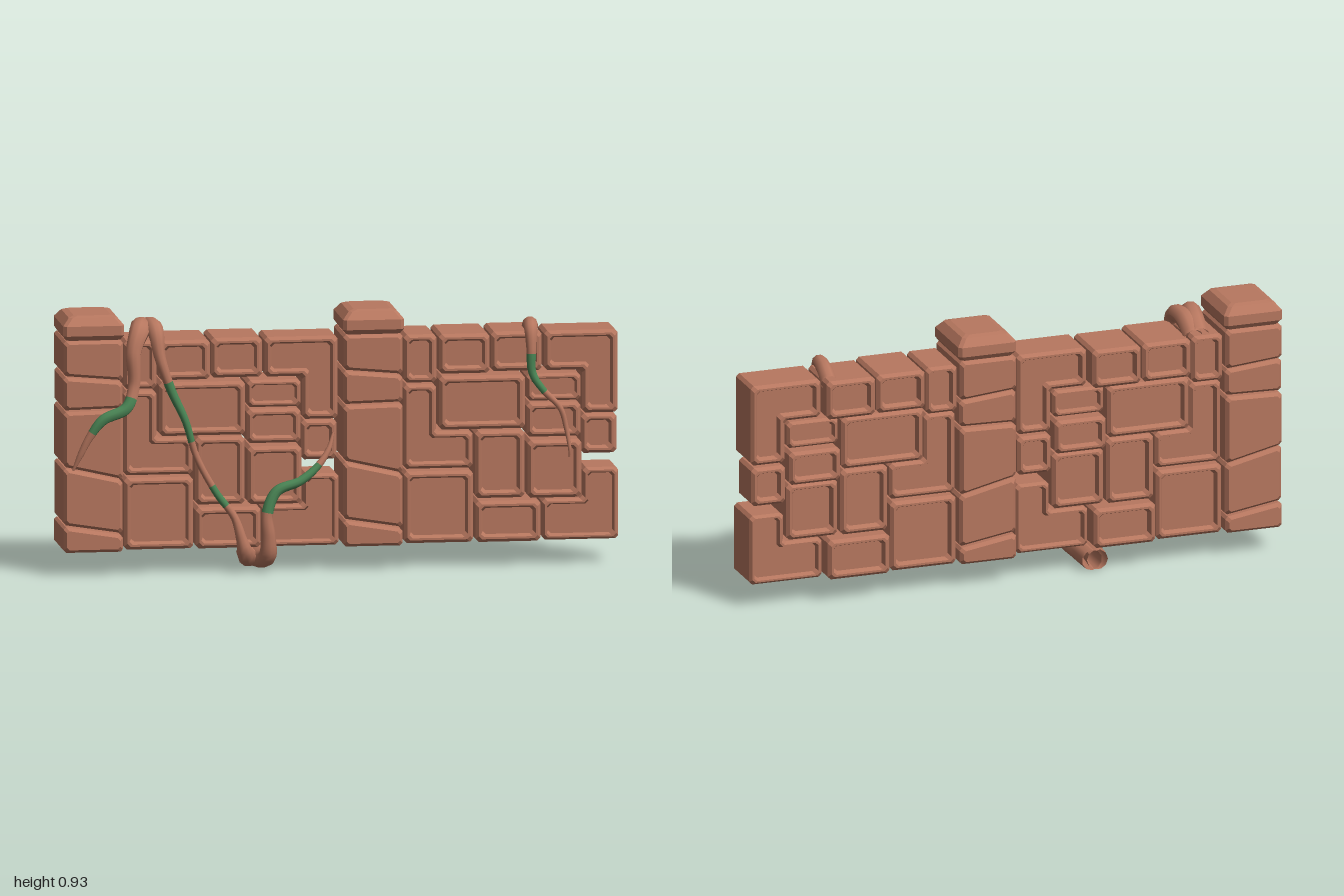
import * as THREE from 'three';

const clay = new THREE.MeshStandardMaterial({ name: 'clay brown', color: 0xb7775f, side: THREE.DoubleSide });
const moss = new THREE.MeshStandardMaterial({ name: 'moss green', color: 0x4a8555, side: THREE.DoubleSide });

// Inset a counter-clockwise outline by d, then cut each corner by c
function insetOutline(points, d, c) {
  const n = points.length;
  const out = [];
  for (let i = 0; i < n; i++) {
    const p = points[i];
    const a = p.clone().sub(points[(i + n - 1) % n]).normalize();
    const b = points[(i + 1) % n].clone().sub(p).normalize();
    const na = new THREE.Vector2(-a.y, a.x), nb = new THREE.Vector2(-b.y, b.x);
    const q = p.clone().addScaledVector(na.clone().add(nb), d / (1 + na.dot(nb)));
    out.push(q.clone().addScaledVector(a, -c), q.clone().addScaledVector(b, c));
  }
  return out;
}

// Loft an outline through rings of [inset, z], ordered front to back, and cap both ends
function loft(outline, rings, corner) {
  const points = outline.map(([x, y]) => new THREE.Vector2(x, y));
  const loops = rings.map(([d]) => insetOutline(points, d, corner));
  const n = loops[0].length;
  const pos = [], index = [];
  loops.forEach((loop, k) => loop.forEach((p) => pos.push(p.x, p.y, rings[k][1])));
  for (let k = 0; k < rings.length - 1; k++) {
    for (let i = 0; i < n; i++) {
      const j = (i + 1) % n, f = k * n, b = f + n;
      index.push(f + i, b + i, b + j, f + i, b + j, f + j);
    }
  }
  const last = (rings.length - 1) * n;
  THREE.ShapeUtils.triangulateShape(loops[0], []).forEach(([a, b, c]) => index.push(a, b, c));
  THREE.ShapeUtils.triangulateShape(loops[rings.length - 1], [])
    .forEach(([a, b, c]) => index.push(last + a, last + c, last + b));
  const indexed = new THREE.BufferGeometry();
  indexed.setAttribute('position', new THREE.Float32BufferAttribute(pos, 3));
  indexed.setIndex(index);
  const geometry = indexed.toNonIndexed();
  geometry.computeVertexNormals();
  return geometry;
}

// Panel stone with a raised rim and a sunken field on both faces
function carvedStone(outline, front, back) {
  const edges = outline.map(([x, y], i) => {
    const [u, v] = outline[(i + 1) % outline.length];
    return Math.hypot(u - x, v - y);
  });
  const rim = Math.min(0.037, Math.min(...edges) * 0.27);
  const g = 0.004;
  const face = (z, s) => [[g + rim, z - s * 0.02], [g + rim * 0.72, z - s * 0.02], [g + rim * 0.5, z],
    [g + rim * 0.3, z], [g, z - s * 0.012]];
  return loft(outline, [...face(front, 1), ...face(back, -1).reverse()], 0.011);
}

// Plain bevelled block
function plainStone(outline, front, back) {
  return loft(outline, [[0.014, front], [0.003, front - 0.014], [0.003, back + 0.014], [0.014, back]], 0.009);
}

const rect = (x0, y0, x1, y1) => [[x0, y0], [x1, y0], [x1, y1], [x0, y1]];

// Stones of one panel, measured from its pillar's outer edge: outline, front z, back z
const stones = [
  [rect(0.22, 0.085, 0.475, 0.35), 0.09, -0.12],
  [rect(0.475, 0.085, 0.715, 0.24), 0.1, -0.138],
  [[[0.715, 0.085], [0.995, 0.085], [0.995, 0.35], [0.86, 0.35], [0.86, 0.24], [0.715, 0.24]], 0.085, -0.095],
  [[[0.22, 0.35], [0.475, 0.35], [0.475, 0.49], [0.345, 0.49], [0.345, 0.66], [0.22, 0.66]], 0.08, -0.11],
  [rect(0.475, 0.24, 0.66, 0.49), 0.085, -0.115],
  [rect(0.66, 0.24, 0.86, 0.455), 0.105, -0.105],
  [rect(0.86, 0.385, 0.995, 0.535), 0.035, -0.115],
  [rect(0.345, 0.49, 0.66, 0.69), 0.095, -0.125],
  [rect(0.66, 0.455, 0.86, 0.585), 0.08, -0.135],
  [rect(0.66, 0.585, 0.86, 0.69), 0.085, -0.11],
  [rect(0.22, 0.66, 0.345, 0.84), 0.085, -0.13],
  [rect(0.345, 0.69, 0.535, 0.84), 0.09, -0.145],
  [rect(0.535, 0.69, 0.725, 0.84), 0.06, -0.153],
  [[[0.86, 0.535], [0.995, 0.535], [0.995, 0.84], [0.725, 0.84], [0.725, 0.69], [0.86, 0.69]], 0.065, -0.11],
];

// Slanted joints of a pillar: height at left edge and at right edge
const joints = [[0.085, 0.085], [0.185, 0.15], [0.395, 0.345], [0.595, 0.6], [0.72, 0.7], [0.85, 0.85]];

function add(parent, name, geometry, material = clay) {
  const mesh = new THREE.Mesh(geometry, material);
  mesh.name = name;
  parent.add(mesh);
  return mesh;
}

// Pillar of stacked wedge blocks under a chamfered cap
function buildPillar() {
  const pillar = new THREE.Group();
  pillar.name = 'pillar';
  for (let i = 0; i < joints.length - 1; i++) {
    const [l0, r0] = joints[i], [l1, r1] = joints[i + 1];
    const shift = i % 2 ? 0.006 : 0;
    const outline = [[0, l0], [0.218, r0], [0.218, r1], [0, l1]];
    add(pillar, 'pillarBlock', plainStone(outline, 0.128 - shift, -0.14 + shift));
  }
  const capRings = [[0.045, 0.933], [0.025, 0.927], [0.002, 0.9], [0.002, 0.865], [0.014, 0.848]];
  const cap = loft(rect(0, -0.128, 0.222, 0.14), capRings, 0.012);
  add(pillar, 'pillarCap', cap.rotateX(-Math.PI / 2));
  return pillar;
}

// Tapering vine: points are [x, y, z, radius]; mossy spans are [from, to] along the length
function vine(points, mossy) {
  const path = new THREE.CatmullRomCurve3(points.map(([x, y, z]) => new THREE.Vector3(x, y, z)));
  const segments = 72, sides = 10;
  const geometry = new THREE.TubeGeometry(path, segments, 1, sides);
  const pos = geometry.attributes.position;
  const v = new THREE.Vector3();
  for (let s = 0; s <= segments; s++) {
    const center = path.getPointAt(s / segments);
    const t = path.getUtoTmapping(s / segments) * (points.length - 1);
    const k = Math.min(Math.floor(t), points.length - 2);
    const radius = THREE.MathUtils.lerp(points[k][3], points[k + 1][3], t - k);
    for (let i = 0; i <= sides; i++) {
      const id = s * (sides + 1) + i;
      v.fromBufferAttribute(pos, id).sub(center).multiplyScalar(radius).add(center);
      pos.setXYZ(id, v.x, v.y, v.z);
    }
  }
  geometry.computeVertexNormals();
  // One material group per length segment
  for (let s = 0; s < segments; s++) {
    const green = mossy.some(([a, b]) => s / segments >= a && s / segments < b);
    geometry.addGroup(s * sides * 6, sides * 6, green ? 1 : 0);
  }
  return geometry;
}

const vines = {
  pillarVine: [[[-0.69, 0.83, -0.11, 0.04], [-0.7, 0.865, -0.03, 0.04], [-0.72, 0.865, 0.06, 0.036],
    [-0.745, 0.8, 0.1, 0.028], [-0.745, 0.68, 0.11, 0.022], [-0.775, 0.605, 0.132, 0.021], [-0.86, 0.565, 0.14, 0.019],
    [-0.91, 0.5, 0.138, 0.014], [-0.94, 0.44, 0.134, 0.011], [-0.965, 0.385, 0.13, 0.004]], [[0.55, 0.8]]],
  fallingVine: [[[-0.67, 0.83, -0.11, 0.035], [-0.67, 0.87, -0.03, 0.035], [-0.66, 0.865, 0.06, 0.03],
    [-0.65, 0.78, 0.095, 0.021], [-0.61, 0.66, 0.1, 0.017], [-0.56, 0.55, 0.105, 0.014], [-0.52, 0.42, 0.1, 0.012],
    [-0.45, 0.29, 0.1, 0.013], [-0.385, 0.2, 0.105, 0.014], [-0.36, 0.12, 0.11, 0.02], [-0.345, 0.07, 0.1, 0.03],
    [-0.325, 0.045, 0.02, 0.036], [-0.31, 0.04, -0.11, 0.038]], [[0.28, 0.46], [0.61, 0.68]]],
  risingVine: [[[-0.29, 0.04, -0.11, 0.038], [-0.285, 0.042, 0.02, 0.038], [-0.265, 0.06, 0.095, 0.032],
    [-0.265, 0.13, 0.115, 0.026], [-0.27, 0.21, 0.118, 0.021], [-0.235, 0.29, 0.11, 0.019],
    [-0.15, 0.325, 0.105, 0.016], [-0.085, 0.375, 0.09, 0.013], [-0.045, 0.43, 0.075, 0.01],
    [-0.025, 0.49, 0.06, 0.004]], [[0.48, 0.82]]],
  smallVine: [[[0.7, 0.82, -0.11, 0.03], [0.69, 0.846, -0.03, 0.028], [0.682, 0.845, 0.05, 0.024],
    [0.68, 0.78, 0.078, 0.018], [0.683, 0.69, 0.085, 0.014], [0.72, 0.63, 0.095, 0.012], [0.78, 0.565, 0.1, 0.01],
    [0.8, 0.5, 0.1, 0.009], [0.812, 0.42, 0.112, 0.006], [0.812, 0.39, 0.11, 0.003]], [[0.38, 0.6]]],
};

export function createModel() {
  const model = new THREE.Group();
  model.name = 'stoneWall';

  // Two identical sections: a pillar and a carved panel
  for (const x of [-1, 0]) {
    const section = new THREE.Group();
    section.name = 'wallSection';
    section.position.x = x;
    section.add(buildPillar());
    stones.forEach(([outline, front, back]) => add(section, 'panelStone', carvedStone(outline, front, back)));
    model.add(section);
  }

  // Climbing vines
  for (const [name, [points, mossy]] of Object.entries(vines)) {
    add(model, name, vine(points, mossy), [clay, moss]);
  }
  return model;
}
